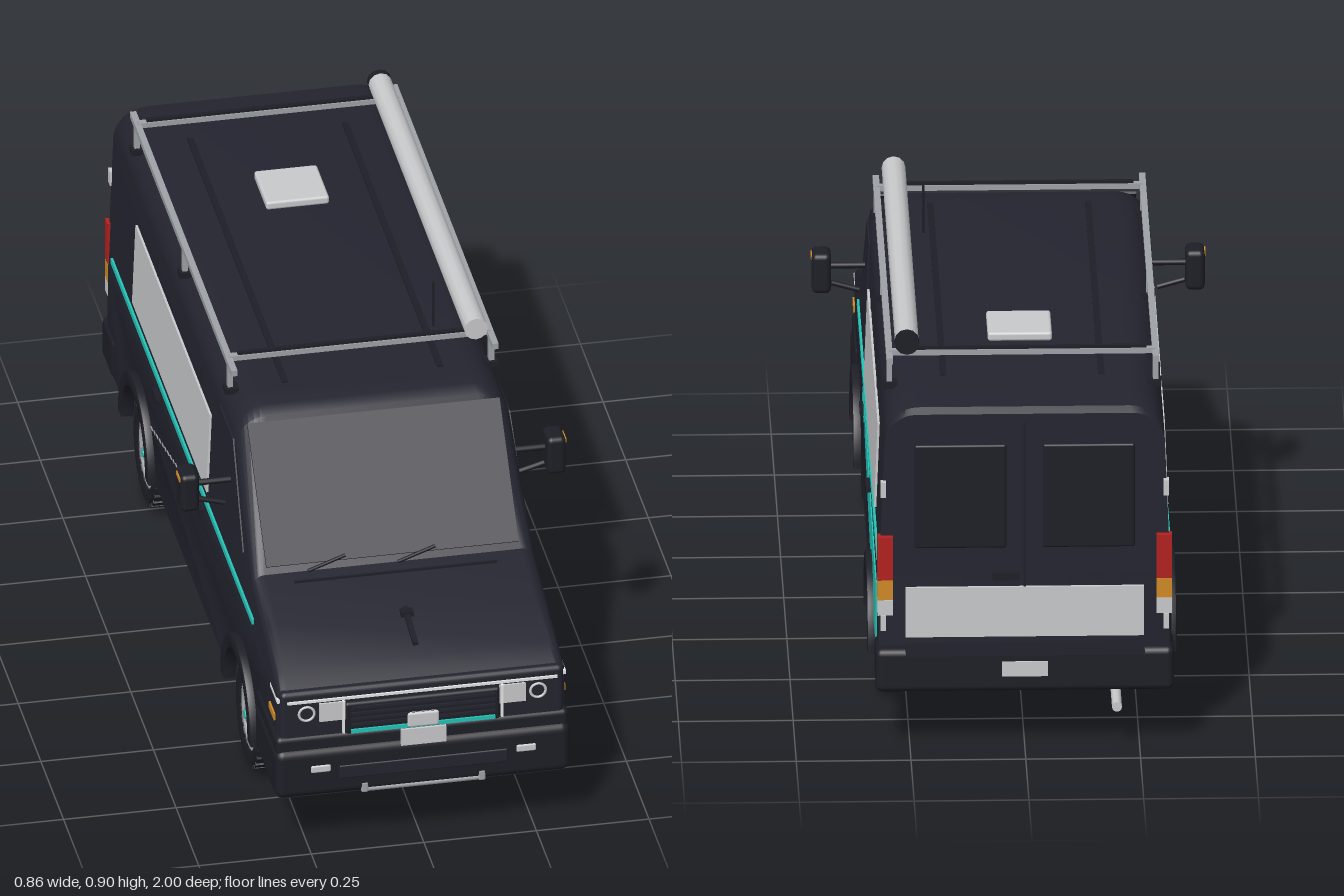
import * as THREE from 'three';
import { toCreasedNormals } from 'three/addons/utils/BufferGeometryUtils.js';
import { RoundedBoxGeometry } from 'three/addons/geometries/RoundedBoxGeometry.js';

const material = (name, color) => {
  const m = new THREE.MeshStandardMaterial({ color });
  m.name = name;
  return m;
};

// half width of the body side, leaning inwards above the waist
const sideX = y => 0.319 - 0.039 * Math.max(0, y - 0.36);

export function createModel() {
  const paint = material('dark paint', 0x242430);
  const trim = material('black trim', 0x1e1e27);
  const teal = material('teal', 0x24c4b8);
  const silver = material('silver', 0xc9cacc);
  const grey = material('grey metal', 0x9fa3a7);
  const white = material('white', 0xf0f0f0);
  const red = material('red lamp', 0xb3201f);
  const orange = material('orange lamp', 0xd08a26);

  const van = new THREE.Group();
  van.name = 'camperVan';

  const add = (name, geo, mat, x = 0, y = 0, z = 0, parent = van) => {
    const m = new THREE.Mesh(geo, mat);
    m.name = name;
    m.position.set(x, y, z);
    parent.add(m);
    return m;
  };
  const box = (name, mat, w, h, d, x, y, z, parent) =>
    add(name, new THREE.BoxGeometry(w, h, d), mat, x, y, z, parent);
  const round = (name, mat, w, h, d, x, y, z, r, parent) =>
    add(name, new RoundedBoxGeometry(w, h, d, 3, r), mat, x, y, z, parent);
  const rod = (name, mat, a, b, r, parent) => {
    const p = new THREE.Vector3(...a), q = new THREE.Vector3(...b);
    const m = add(name, new THREE.CylinderGeometry(r, r, p.distanceTo(q), 12), mat, 0, 0, 0, parent);
    m.position.copy(p).add(q).multiplyScalar(0.5);
    m.quaternion.setFromUnitVectors(new THREE.Vector3(0, 1, 0), q.sub(p).normalize());
    return m;
  };
  const shapeOf = pts => new THREE.Shape(pts.map(p => new THREE.Vector2(...p)));
  // extrudes a (z, y) outline along x, centred on x = 0
  const sideExtrude = (shape, width, bevel = 0) => new THREE.ExtrudeGeometry(shape, {
    depth: width - 2 * bevel, bevelEnabled: bevel > 0, bevelSize: bevel, bevelThickness: bevel,
    bevelSegments: 2, curveSegments: 24,
  }).translate(0, 0, bevel - width / 2).rotateY(-Math.PI / 2);
  // thin plate that follows the leaning body side
  const sidePlate = (name, shape, mat, parent, lift = 0.003) => {
    const g = sideExtrude(shape, 0.006), p = g.attributes.position;
    for (let i = 0; i < p.count; i++) p.setX(i, p.getX(i) + sideX(p.getY(i)) + lift - 0.001);
    g.computeVertexNormals();
    return add(name, g, mat, 0, 0, 0, parent);
  };
  const rect = (z0, z1, y0, y1) => shapeOf([[z0, y0], [z1, y0], [z1, y1], [z0, y1]]);

  // lower body with wheel arches
  const axles = [-0.54, 0.59];
  const lower = new THREE.Shape();
  lower.moveTo(-0.9, 0.14);
  axles.forEach(z => {
    lower.lineTo(z - 0.145, 0.14);
    lower.absarc(z, 0.14, 0.145, Math.PI, 0, true);
  });
  lower.lineTo(0.96, 0.14);
  lower.lineTo(0.96, 0.385);
  lower.lineTo(-0.9, 0.385);
  add('lowerBody', toCreasedNormals(sideExtrude(lower, 0.64, 0.01), 0.5), paint);

  // upper body: sections of [z, top height, corner radius]
  const sections = [[-0.91, 0.77, 0.07], [-0.895, 0.782, 0.075], [-0.8, 0.79, 0.075], [0.34, 0.79, 0.075],
    [0.40, 0.787, 0.075], [0.43, 0.775, 0.07], [0.66, 0.512, 0.03], [0.8, 0.472, 0.03],
    [0.92, 0.428, 0.025], [0.965, 0.40, 0.02]];
  const pos = [], idx = [], arc = 8;
  sections.forEach(([z, top, r]) => {
    const half = [[sideX(0.36), 0.36]];
    const w = sideX(top - r);
    for (let i = 0; i <= arc; i++) {
      const a = i / arc * Math.PI / 2;
      half.push([w - r + r * Math.cos(a), top - r + r * Math.sin(a)]);
    }
    [...half, ...half.slice().reverse().map(([x, y]) => [-x, y])].forEach(([x, y]) => pos.push(x, y, z));
  });
  const n = 2 * (arc + 2), last = (sections.length - 1) * n;
  for (let s = 0; s < last; s += n) {
    for (let j = 0; j < n - 1; j++) {
      const a = s + j;
      idx.push(a, a + 1, a + n, a + 1, a + n + 1, a + n);
    }
  }
  for (let j = 1; j < n - 1; j++) idx.push(0, j + 1, j, last, last + j, last + j + 1);
  const shell = new THREE.BufferGeometry();
  shell.setAttribute('position', new THREE.Float32BufferAttribute(pos, 3));
  shell.setIndex(idx);
  add('upperBody', toCreasedNormals(shell, 0.5), paint);

  // underside
  box('floor', trim, 0.5, 0.08, 1.46, 0, 0.108, 0.05);
  box('underTray', trim, 0.16, 0.02, 0.28, 0, 0.068, -0.54);
  rod('exhaust', silver, [-0.2, 0.1, -0.74], [-0.2, 0.1, -0.95], 0.011);

  // windscreen, wipers and bonnet details
  const screen = box('windscreen', paint, 0.56, 0.32, 0.006, 0, 0.647, 0.547);
  screen.rotation.x = -0.718;
  [-0.19, 0.01].forEach(x => rod('wiper', trim, [x, 0.516, 0.667], [x + 0.085, 0.537, 0.652], 0.004));
  box('bonnetLine', trim, 0.45, 0.004, 0.006, 0, 0.505, 0.69);
  const rib = box('bonnetRib', trim, 0.012, 0.008, 0.12, 0, 0.462, 0.85);
  rib.rotation.x = 0.2;
  box('bonnetVent', trim, 0.028, 0.012, 0.02, 0, 0.472, 0.81);

  // nose, grille and front bumper
  round('nosePanel', paint, 0.63, 0.15, 0.08, 0, 0.325, 0.942, 0.012);
  round('noseLip', paint, 0.62, 0.02, 0.06, 0, 0.39, 0.95, 0.008);
  round('frontBumper', trim, 0.655, 0.12, 0.24, 0, 0.2, 0.877, 0.02);
  round('bumperTop', trim, 0.65, 0.045, 0.23, 0, 0.268, 0.872, 0.012);
  round('bumperIntake', paint, 0.375, 0.034, 0.01, 0, 0.198, 0.994, 0.004);
  box('frontValance', trim, 0.5, 0.09, 0.1, 0, 0.112, 0.78);
  round('grille', trim, 0.345, 0.08, 0.02, 0, 0.326, 0.98, 0.008);
  for (let i = 0; i < 4; i++) box('grilleSlat', paint, 0.32, 0.006, 0.006, 0, 0.312 + i * 0.014, 0.991);
  box('grilleStripe', teal, 0.32, 0.009, 0.008, 0, 0.296, 0.99);
  round('grilleBadge', silver, 0.07, 0.036, 0.012, 0, 0.311, 0.992, 0.005);
  box('numberPlate', silver, 0.1, 0.04, 0.006, 0, 0.27, 0.996);
  box('noseStrip', white, 0.6, 0.006, 0.008, 0, 0.377, 0.982);
  rod('bumperBar', grey, [-0.135, 0.147, 0.99], [0.135, 0.147, 0.99], 0.007);

  // parts found on both sides
  const mirrorPair = (name, build) => [1, -1].forEach(s => {
    const g = new THREE.Group();
    g.name = (s > 0 ? 'left' : 'right') + name;
    g.scale.x = s;
    build(g, s);
    van.add(g);
  });

  mirrorPair('FrontLamps', g => {
    box('headlamp', silver, 0.058, 0.045, 0.008, 0.2, 0.347, 0.983, g);
    add('lampRing', new THREE.TorusGeometry(0.017, 0.003, 8, 24), silver, 0.257, 0.346, 0.983, g);
    box('grilleEdge', white, 0.005, 0.08, 0.008, 0.176, 0.332, 0.987, g);
    round('fogLamp', silver, 0.044, 0.018, 0.01, 0.228, 0.212, 0.995, 0.004, g);
    round('barEnd', grey, 0.016, 0.026, 0.012, 0.13, 0.153, 0.992, 0.004, g);
    box('sideStrip', white, 0.006, 0.009, 0.08, 0.318, 0.379, 0.935, g);
    box('sideMarker', orange, 0.008, 0.016, 0.055, 0.32, 0.328, 0.925, g);
  });

  mirrorPair('DoorMirror', g => {
    round('mirrorHousing', trim, 0.042, 0.092, 0.065, 0.407, 0.605, 0.415, 0.012, g);
    rod('mirrorArm', trim, [0.3, 0.615, 0.415], [0.4, 0.615, 0.415], 0.007, g);
    rod('mirrorStrut', trim, [0.325, 0.558, 0.415], [0.385, 0.575, 0.415], 0.006, g);
    box('mirrorIndicator', orange, 0.006, 0.01, 0.035, 0.427, 0.638, 0.42, g);
  });

  mirrorPair('BodySide', (g, s) => {
    sidePlate('sidePanel', rect(-0.63, 0.19, 0.45, 0.645), silver, g);
    sidePlate('waistStripe', rect(-0.86, 0.7, 0.414, 0.427), teal, g);
    sidePlate('cabWindow', shapeOf([[0.57, 0.52], [0.27, 0.52], [0.27, 0.72], [0.42, 0.72]]), paint, g, 0.001);
    [0.07, -0.41].forEach(z => sidePlate('doorSeam', rect(z - 0.002, z + 0.002, 0.16, 0.7), trim, g, 0));
    box('doorHandle', trim, 0.014, 0.014, 0.055, 0.324, 0.386, -0.33, g);
    box('cabDoorHandle', trim, 0.014, 0.014, 0.055, 0.324, 0.386, 0.14, g);
    // swoosh on one side only
    if (s > 0) {
      const swoosh = new THREE.Shape();
      swoosh.moveTo(0.07, 0.402);
      swoosh.lineTo(-0.41, 0.374);
      swoosh.lineTo(-0.845, 0.355);
      swoosh.lineTo(-0.845, 0.21);
      swoosh.lineTo(-0.68, 0.21);
      swoosh.absarc(-0.54, 0.14, 0.157, 2.68, 0.85, true);
      swoosh.lineTo(0.07, 0.368);
      sidePlate('swoosh', swoosh, teal, g, 0.002);
      sidePlate('tealTab', rect(0.09, 0.225, 0.372, 0.404), teal, g);
    } else {
      for (let i = 0; i < 16; i++) {
        const z = 0.05 - i * 0.03, y = 0.366 - i * 0.0072;
        sidePlate('swooshDash', rect(z - 0.016, z, y, y + 0.004), grey, g, 0.001);
      }
    }
  });

  // wheels and arch flares
  const tyreProfile = [[0.08, -0.036], [0.105, -0.041], [0.114, -0.034], [0.116, 0], [0.114, 0.034],
    [0.105, 0.041], [0.08, 0.036]].map(p => new THREE.Vector2(...p));
  mirrorPair('Wheels', g => axles.forEach(z => {
    const flare = new THREE.Shape();
    flare.absarc(z, 0.14, 0.162, 0, Math.PI, false);
    flare.absarc(z, 0.14, 0.136, Math.PI, 0, true);
    add('archFlare', toCreasedNormals(sideExtrude(flare, 0.03, 0.004), 0.5), trim, 0.322, 0, 0, g);

    const wheel = new THREE.Group();
    wheel.name = 'wheel';
    wheel.position.set(0.273, 0.12, z);
    g.add(wheel);
    const turned = (name, geo, mat, x) => add(name, geo.rotateZ(-Math.PI / 2), mat, x, 0, 0, wheel);
    turned('tyre', new THREE.LatheGeometry(tyreProfile, 40), trim, 0);
    turned('rimDisc', new THREE.CylinderGeometry(0.083, 0.083, 0.05, 32), trim, 0);
    add('rimRing', new THREE.TorusGeometry(0.078, 0.005, 8, 40).rotateY(Math.PI / 2), grey, 0.029, 0, 0, wheel);
    turned('hub', new THREE.CylinderGeometry(0.02, 0.022, 0.014, 20), grey, 0.032);
    turned('hubCap', new THREE.CylinderGeometry(0.009, 0.009, 0.004, 16), teal, 0.041);
    for (let i = 0; i < 6; i++) {
      const spoke = box('spoke', grey, 0.01, 0.066, 0.02, 0.03, 0, 0, wheel);
      spoke.geometry.translate(0, 0.043, 0);
      spoke.rotation.x = i * Math.PI / 3;
    }
    for (let i = 0; i < 28; i++) [-1, 1].forEach(k => {
      const block = box('treadBlock', trim, 0.034, 0.008, 0.017, k * 0.02, 0, 0, wheel);
      block.geometry.translate(0, 0.116, 0);
      block.rotation.x = (i + k * 0.25) * Math.PI / 14;
    });
  }));

  // roof rack, awning, vent and aerial
  mirrorPair('RackSide', g => {
    box('rackRail', grey, 0.014, 0.014, 1.12, 0.29, 0.842, -0.21, g);
    [0.3, -0.2, -0.73].forEach(z => {
      box('rackLeg', grey, 0.012, 0.06, 0.014, 0.29, 0.81, z, g);
      box('rackFoot', trim, 0.03, 0.014, 0.03, 0.288, 0.775, z, g);
    });
    box('roofRib', trim, 0.014, 0.006, 1.05, 0.172, 0.791, -0.2, g);
  });
  [0.285, -0.72].forEach(z => {
    box('rackCrossBar', grey, 0.58, 0.012, 0.016, 0, 0.845, z);
    box('crossBarPad', trim, 0.54, 0.006, 0.01, 0, 0.854, z);
  });
  rod('awning', silver, [0.252, 0.876, 0.325], [0.252, 0.876, -0.735], 0.026);
  rod('awningCap', trim, [0.252, 0.876, -0.735], [0.252, 0.876, -0.75], 0.027);
  round('roofVent', silver, 0.14, 0.02, 0.14, 0, 0.804, -0.46, 0.006);
  rod('aerial', trim, [0.192, 0.785, 0.15], [0.192, 0.9, 0.15], 0.003);

  // rear doors, lamps and bumper
  round('rearBumper', trim, 0.65, 0.1, 0.12, 0, 0.185, -0.885, 0.015);
  box('rearStep', trim, 0.52, 0.012, 0.08, 0, 0.235, -0.96);
  box('rearPlate', silver, 0.1, 0.034, 0.006, 0, 0.19, -0.946);
  box('rearPanel', silver, 0.52, 0.115, 0.008, 0, 0.312, -0.914);
  box('rearDoorSeam', trim, 0.005, 0.5, 0.006, 0, 0.5, -0.911);
  box('rearHandle', trim, 0.06, 0.016, 0.012, 0.04, 0.395, -0.916);
  mirrorPair('RearEnd', g => {
    round('rearWindow', trim, 0.2, 0.24, 0.012, 0.14, 0.58, -0.91, 0.005, g);
    box('stopLamp', red, 0.034, 0.1, 0.026, 0.304, 0.44, -0.912, g);
    box('turnLamp', orange, 0.034, 0.045, 0.026, 0.304, 0.367, -0.912, g);
    box('reverseLamp', silver, 0.034, 0.035, 0.026, 0.304, 0.326, -0.912, g);
    [0.29, 0.6].forEach(y => box('hinge', silver, 0.012, 0.035, 0.02, 0.308, y, -0.915, g));
  });

  return van;
}
